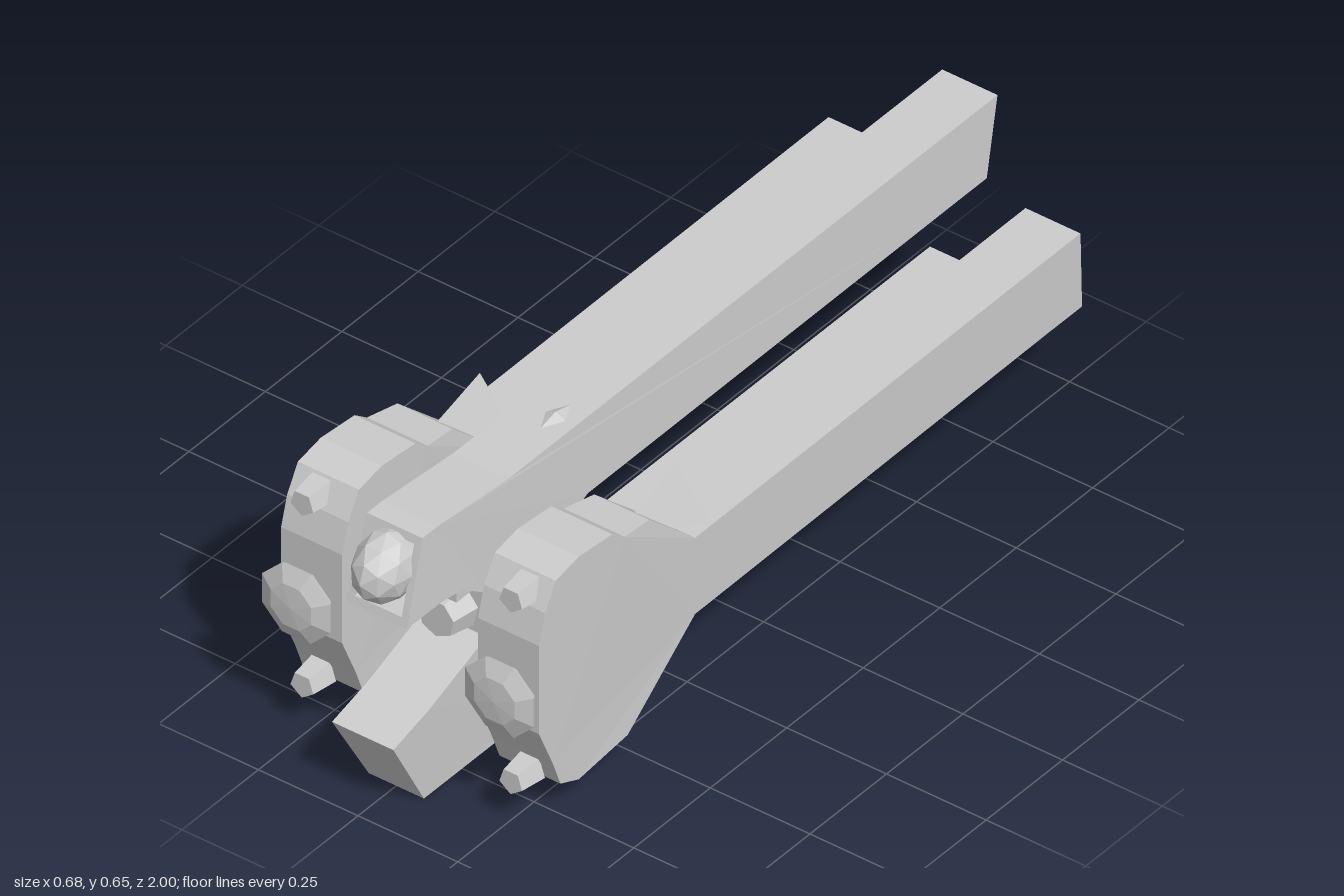
import * as THREE from 'three';

const grey = new THREE.MeshStandardMaterial({ color: 0xcccccc });
grey.name = 'hull grey';

// Adds a faceted mesh with a plain name
function add(parent, name, geometry, x = 0, y = 0, z = 0) {
  const g = geometry.index ? geometry.toNonIndexed() : geometry;
  g.computeVertexNormals();
  const mesh = new THREE.Mesh(g, grey);
  mesh.name = name;
  mesh.position.set(x, y, z);
  parent.add(mesh);
  return mesh;
}

// Extrudes a (z, y) side outline across x, centred on x = 0
function slab(outline, width) {
  const shape = new THREE.Shape(outline.map(([z, y]) => new THREE.Vector2(z, y)));
  return new THREE.ExtrudeGeometry(shape, { depth: width, bevelEnabled: false })
    .translate(0, 0, -width / 2)
    .rotateY(-Math.PI / 2);
}

// Hollow rectangular beam end; zTop and zBottom set the slant of the open end
function socket(halfWidth, yMin, yMax, zRoot, zTop, zBottom, wall) {
  const rect = (w, a, b) => [[-w, a], [w, a], [w, b], [-w, b]].map(p => new THREE.Vector2(...p));
  const shape = new THREE.Shape(rect(halfWidth, yMin, yMax));
  shape.holes.push(new THREE.Path(rect(halfWidth - wall, yMin + wall, yMax - wall)));
  const g = new THREE.ExtrudeGeometry(shape, { depth: 1, bevelEnabled: false });
  const p = g.attributes.position;
  const forward = zTop > zRoot;
  for (let i = 0; i < p.count; i++) {
    const end = forward ? p.getZ(i) > 0.5 : p.getZ(i) < 0.5;
    const t = (p.getY(i) - yMin) / (yMax - yMin);
    p.setZ(i, end ? zBottom + (zTop - zBottom) * t : zRoot);
  }
  return g;
}

// Reshapes x by a rule of the vertex position
function reshapeX(g, rule) {
  const p = g.attributes.position;
  for (let i = 0; i < p.count; i++) p.setX(i, rule(p.getX(i), p.getY(i), p.getZ(i)));
  return g;
}

// Three-sided fin on the back of a side head
function finGeometry() {
  const a = [-0.058, 0.42, 0.245], b = [0.058, 0.42, 0.245], peak = [0, 0.56, 0.28], tip = [0, 0.5, 0.5];
  const g = new THREE.BufferGeometry();
  g.setAttribute('position', new THREE.Float32BufferAttribute(
    [b, a, peak, a, tip, peak, tip, b, peak, a, b, tip].flat(), 3));
  return g;
}

export function createModel() {
  const model = new THREE.Group();
  model.name = 'model';

  // Centre frame: upper and lower beams joined by a short web
  const centre = new THREE.Group();
  centre.name = 'centreFrame';
  model.add(centre);
  const taper = (x, y) => x * (Math.abs(y - 0.325) < 0.18 ? 1 : 0.9);
  add(centre, 'centreBeams', reshapeX(slab([
    [0.83, 0.652], [0.6, 0.632], [-0.88, 0.632], [-0.88, 0.455], [0.35, 0.45], [0.45, 0.4],
    [0.45, 0.26], [0.35, 0.205], [-0.88, 0.205], [-0.88, 0.03], [0.43, 0.03], [0.525, 0],
    [0.875, 0], [0.985, 0.19], [0.87, 0.22], [0.68, 0.29], [0.68, 0.4], [0.76, 0.455], [0.83, 0.465],
  ], 0.154), taper));
  add(centre, 'upperRearSocket', reshapeX(socket(0.077, 0.455, 0.632, -0.88, -1, -0.955, 0.02), taper));
  add(centre, 'lowerRearSocket', reshapeX(socket(0.077, 0.03, 0.205, -0.88, -0.97, -1, 0.02), taper));
  add(centre, 'upperFrontSocket', reshapeX(socket(0.077, 0.465, 0.652, 0.83, 0.88, 0.94, 0.018), taper));
  add(centre, 'frontPod', new THREE.IcosahedronGeometry(1, 1).scale(0.064, 0.08, 0.09), 0, 0.57, 0.905);

  // Nozzle between the two centre beams
  add(centre, 'centreNozzle', new THREE.CylinderGeometry(0.045, 0.058, 0.07, 7).rotateX(Math.PI / 2), 0, 0.34, 0.71);
  add(centre, 'nozzleBlock', new THREE.BoxGeometry(0.095, 0.035, 0.08), 0, 0.415, 0.7);

  // Small nubs on the beams
  for (const [y, z] of [[0.634, 0.38], [0.028, 0.4]])
    add(centre, 'beamNub', new THREE.OctahedronGeometry(1).scale(0.025, 0.012, 0.05), 0.02, y, z);

  // Mirrored side units
  for (const s of [1, -1]) {
    const side = new THREE.Group();
    side.name = s > 0 ? 'leftUnit' : 'rightUnit';
    side.position.x = s * 0.247;
    model.add(side);

    // Beam widening into the tall head
    const widen = (x, y, z) => x * (z > 0.5 ? 1 : 0.9);
    add(side, 'sideBeamAndHead', reshapeX(slab([
      [0.83, 0.25], [0.83, 0.47], [0.81, 0.54], [0.775, 0.6], [0.7, 0.615], [0.59, 0.605],
      [0.55, 0.575], [0.46, 0.56], [0.31, 0.425], [-0.85, 0.43], [-0.85, 0.245], [0.31, 0.235],
      [0.54, 0.075], [0.7, 0.06], [0.76, 0.085], [0.785, 0.15],
    ], 0.153), widen));
    add(side, 'sideRearSocket', socket(0.069, 0.245, 0.43, -0.85, -0.95, -0.955, 0.015));
    add(side, 'headFin', finGeometry());

    // Domed disc on a neck
    const profile = [[0.05, 0.78], [0.036, 0.845], [0.085, 0.858], [0.093, 0.87], [0.055, 0.887], [0, 0.891]];
    add(side, 'frontDisc', new THREE.LatheGeometry(profile.map(p => new THREE.Vector2(...p)), 8, Math.PI / 8)
      .rotateX(Math.PI / 2), s * 0.008, 0.335, 0);

    // Small knobs above and below the disc
    for (const y of [0.563, 0.11]) {
      add(side, 'headKnob', new THREE.CylinderGeometry(0.03, 0.038, 0.065, 5)
        .rotateX(Math.PI / 2), s * 0.015, y, 0.81);
    }

    // Cross arm to the centre frame
    const arm = new THREE.BoxGeometry(0.13, 0.14, 0.14);
    add(model, 'crossArm', arm, s * 0.125, 0.345, 0.585);
  }
  return model;
}
